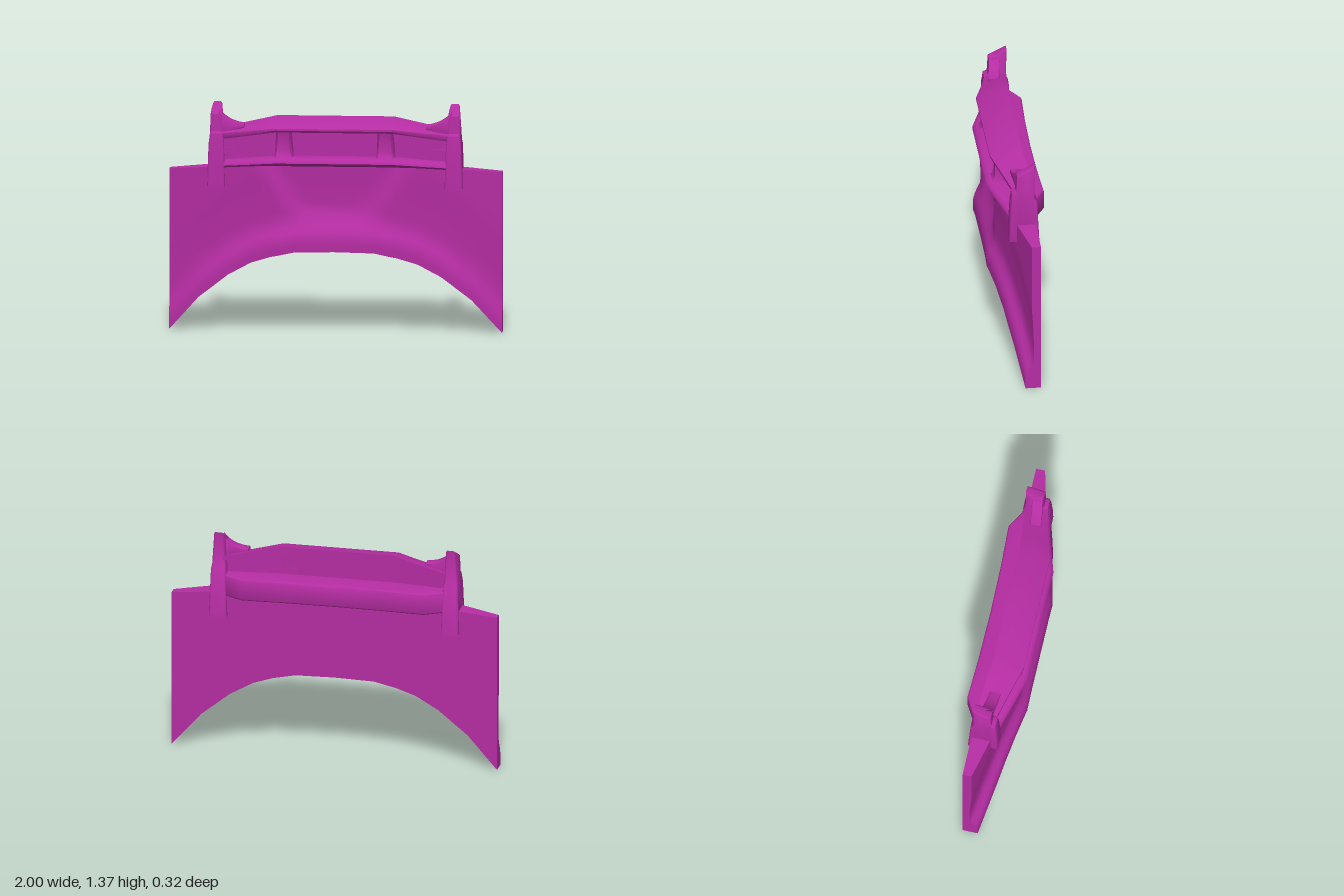
import * as THREE from 'three';
import { toCreasedNormals } from 'three/addons/utils/BufferGeometryUtils.js';

const material = new THREE.MeshStandardMaterial({ color: 0xb52da3 });

// Piecewise linear lookup in [[x, value], ...]
function lookup(points, x) {
  for (let i = 1; i < points.length; i++) {
    const [x0, v0] = points[i - 1], [x1, v1] = points[i];
    if (x <= x1) return v0 + (v1 - v0) * Math.max(0, (x - x0) / (x1 - x0));
  }
  return points[points.length - 1][1];
}

function part(name, geometry, crease = 0.6) {
  const mesh = new THREE.Mesh(toCreasedNormals(geometry, crease), material);
  mesh.name = name;
  return mesh;
}

// Scales x by a factor that depends on the height
function taper(geometry, widths) {
  const p = geometry.attributes.position;
  for (let i = 0; i < p.count; i++) p.setX(i, p.getX(i) * lookup(widths, p.getY(i)));
  return geometry;
}

// Closed solid through [y, z] sections placed along x (up the back, down the front)
function loft(xs, section) {
  const rings = xs.map(section), n = rings[0].length;
  const position = [], index = [];
  rings.forEach((ring, i) => ring.forEach(([y, z]) => position.push(xs[i], y, z)));
  for (let i = 0; i < xs.length - 1; i++) {
    for (let j = 0; j < n; j++) {
      const k = (j + 1) % n, a = i * n, b = a + n;
      index.push(a + j, a + k, b + k, a + j, b + k, b + j);
    }
  }
  const cap = (ring, base, flip) => {
    const outline = ring.map(([y, z]) => new THREE.Vector2(y, z));
    for (const [a, b, c] of THREE.ShapeUtils.triangulateShape(outline, [])) {
      index.push(base + a, base + (flip ? c : b), base + (flip ? b : c));
    }
  };
  cap(rings[0], 0, true);
  cap(rings[xs.length - 1], (xs.length - 1) * n, false);
  const geometry = new THREE.BufferGeometry();
  geometry.setAttribute('position', new THREE.Float32BufferAttribute(position, 3));
  geometry.setIndex(index);
  return geometry;
}

const mirrored = (half) => [...half.slice(1).reverse().map((x) => -x), ...half];

// 0 over the straight middle, 1 at the posts
const sweep = (x) => THREE.MathUtils.clamp((Math.abs(x) - 0.35) / 0.33, 0, 1);

const archLine = [[0, 0.505], [0.24, 0.5], [0.38, 0.47], [0.5, 0.43], [0.64, 0.35], [0.82, 0.205], [1, 0]];
const frontLine = [[0, 0.155], [0.34, 0.155], [0.8, 0.055], [1, 0]];
const topLine = [[0, 1.035], [0.35, 1.03], [0.7, 0.998], [1, 0.97]];

// Main panel: flat back, flared arch edge, thin ends and a recess under the grille
function panelGeometry() {
  const xs = mirrored([0, 0.12, 0.2, 0.24, 0.3, 0.34, 0.38, 0.44, 0.5, 0.57, 0.64, 0.73, 0.82, 0.88, 0.94, 1]);
  const flare = [[0, 0], [0.07, 0.002], [0.12, -0.01], [0.16, -0.036], [0.22, -0.044], [0.4, -0.04], [0.55, -0.03]];
  const rises = [0, 0.035, 0.07, 0.1, 0.13, 0.16, 0.22];
  return loft(xs, (x) => {
    const ax = Math.abs(x), low = lookup(archLine, ax), high = lookup(topLine, ax);
    const front = lookup(frontLine, ax), back = -0.088 - 0.005 * ax;
    const ys = rises.map((r) => low + r);
    for (let i = 1; i <= 9; i++) ys.push(low + 0.22 + (high - low - 0.22) * i / 9);
    const face = ys.map((y) => {
      const half = 0.2 + Math.max(0, y - 0.73) * 0.65;
      const inX = THREE.MathUtils.smoothstep(half + 0.08 - ax, 0, 0.14);
      const inY = THREE.MathUtils.smoothstep(y, 0.66, 0.77);
      const thin = lookup([[0.4, 0], [0.8, -0.012], [1, -0.008]], ax) * Math.min(1, (y - low) / 0.22);
      return [y, front + lookup(flare, y - low) + thin - 0.035 * inX * inY];
    });
    return [[low, back], [high, back], ...face.reverse()];
  });
}

// Hood with an overhanging rear edge, front lip and the wall behind the grille
function hoodGeometry() {
  return loft(mirrored([0, 0.35, 0.46, 0.57, 0.685]), (x) => {
    const e = sweep(x), t = -0.08 * e, l = -0.06 * e, f = -0.095 * e, b = -0.035 * e;
    return [
      [0.98, b], [1.27 + t, b], [1.275 + t, -0.05 + b], [1.3 + t, -0.05 + b],
      [1.293 + t, 0.02 + b], [1.262 + t * 0.7, 0.11 + f], [1.248 + t * 0.6, 0.137 + f], [1.236 + t * 0.7, 0.137 + f],
      [1.224 + l, 0.128 + f], [1.222 + l, 0.03 + b], [0.98, 0.03 + b],
    ];
  });
}

// Rounded ledge under the grille
function sillGeometry() {
  return loft(mirrored([0, 0.35, 0.46, 0.57, 0.685]), (x) => {
    const e = sweep(x), d = -0.035 * e, f = -0.1 * e;
    return [
      [1.01 + d, -0.04], [1.065 + d, -0.04], [1.072 + d, 0.1 + f], [1.068 + d, 0.138 + f],
      [1.056 + d, 0.157 + f], [1.04 + d, 0.16 + f], [1.03 + d, 0.148 + f], [1.015 + d, 0.1 + f],
    ];
  });
}

// Beam across the back with slightly rounded long edges
function rearBeamGeometry() {
  const rear = [[0, -0.148], [0.3, -0.152], [0.56, -0.163], [0.685, -0.09]];
  return loft(mirrored(rear.map((p) => p[0])), (x) => {
    const z = lookup(rear, Math.abs(x));
    return [
      [0.979, z + 0.004], [0.986, z], [1.1, z], [1.107, z + 0.004],
      [1.11, z + 0.012], [1.11, 0.01], [0.975, 0.01], [0.975, z + 0.012],
    ];
  });
}

// Grille upright, wider at its foot and waisted in front
function uprightGeometry() {
  const geometry = loft([-1, -0.78, 0.78, 1], (x) => {
    const edge = Math.abs(x) === 1 ? 0.02 : 0;
    return [
      [1.05, 0], [1.235, 0], [1.235, 0.115 - edge], [1.19, 0.106 - edge],
      [1.11, 0.106 - edge], [1.08, 0.114 - edge], [1.05, 0.14 - edge],
    ];
  });
  return taper(geometry, [[1.05, 0.06], [1.11, 0.05], [1.19, 0.043], [1.235, 0.043]]);
}

// Corner post straddling the panel
function postGeometry() {
  const outline = [[0.068, 0.875], [0.066, 1.0], [0.058, 1.14], [0.05, 1.2], [0.026, 1.21], [0.02, 1.315], [-0.03, 1.343],
    [-0.088, 1.374], [-0.084, 1.165], [-0.1, 1.145], [-0.115, 0.84], [-0.07, 0.84], [-0.06, 0.97], [0.01, 0.97], [0.02, 0.875]];
  const shape = new THREE.Shape(outline.map(([z, y]) => new THREE.Vector2(-z, y)));
  const geometry = new THREE.ExtrudeGeometry(shape, {
    depth: 1.4, bevelEnabled: true, bevelThickness: 0.3, bevelSize: 0.011, bevelOffset: -0.011, bevelSegments: 3,
  });
  geometry.translate(0, 0, -0.7).rotateY(Math.PI / 2);
  return taper(geometry, [[0.84, 0.056], [0.9, 0.053], [1.14, 0.046], [1.18, 0.039], [1.32, 0.037], [1.37, 0.026]]);
}

// Curved bracket from the post down onto the hood
function bracketGeometry(side) {
  const shape = new THREE.Shape();
  shape.moveTo(side * 0.7, 1.34);
  shape.quadraticCurveTo(side * 0.65, 1.268, side * 0.545, 1.258);
  shape.lineTo(side * 0.545, 1.235);
  shape.lineTo(side * 0.7, 1.19);
  const geometry = new THREE.ExtrudeGeometry(shape, {
    depth: 0.05, curveSegments: 6, bevelEnabled: true, bevelThickness: 0.008, bevelSize: 0.006, bevelOffset: -0.006, bevelSegments: 2,
  });
  geometry.translate(0, 0, -0.035);
  // Follows the swept-back line of the hood
  const p = geometry.attributes.position;
  for (let i = 0; i < p.count; i++) p.setZ(i, p.getZ(i) + (0.66 - Math.abs(p.getX(i))) * 0.15);
  return geometry;
}

export function createModel() {
  const model = new THREE.Group();
  model.name = 'archedPanel';
  model.add(
    part('panel', panelGeometry(), 0.8),
    part('hood', hoodGeometry()),
    part('sill', sillGeometry(), 0.9),
    part('rearBeam', rearBeamGeometry(), 0.9),
  );
  for (const side of [1, -1]) {
    const label = side > 0 ? 'left' : 'right';
    const upright = part(label + 'Upright', uprightGeometry(), 0.9);
    upright.position.x = side * 0.305;
    const post = part(label + 'Post', postGeometry(), 0.8);
    post.position.x = side * 0.713;
    model.add(upright, post, part(label + 'Bracket', bracketGeometry(side), 0.8));
  }
  return model;
}
